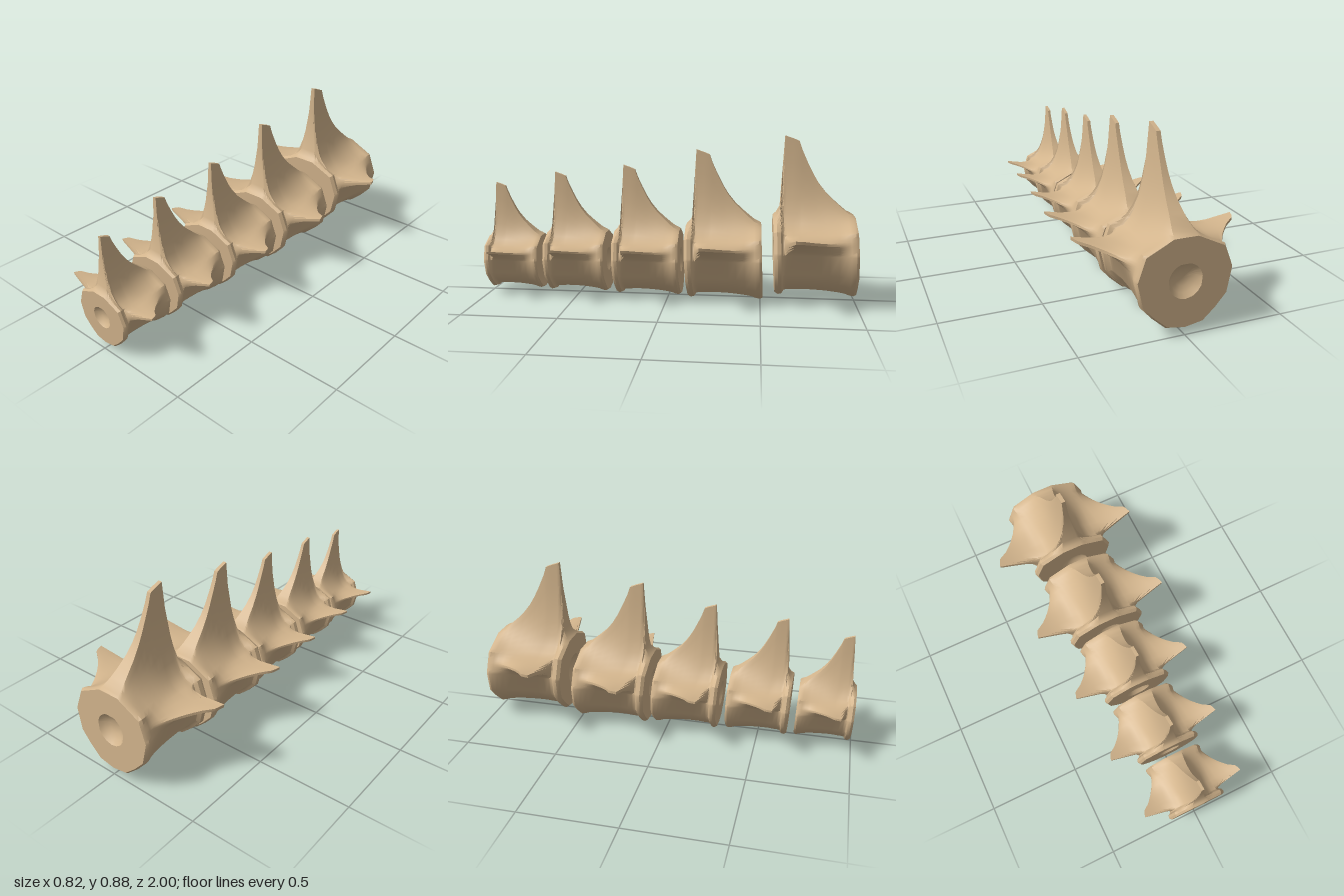
import * as THREE from 'three';
import { toCreasedNormals } from 'three/addons/utils/BufferGeometryUtils.js';

const CENTRE = 0.222; // height of the body axis
const lerp = THREE.MathUtils.lerp;

// Stations front to back: [depth, body scale, spine height, wing span]
const STATIONS = [
  [0.000, 0.95, 0.42, 0.22],
  [0.018, 1.00, 0.435, 0.22],
  [0.038, 0.98, 0.47, 0.22],
  [0.050, 0.90, 0.71, 0.22],
  [0.058, 0.885, 0.85, 0.225],
  [0.072, 0.88, 0.845, 0.26],
  [0.103, 0.875, 0.835, 0.41],
  [0.135, 0.865, 0.822, 0.402],
  [0.152, 0.865, 0.775, 0.395],
  [0.185, 0.865, 0.705, 0.355],
  [0.215, 0.87, 0.648, 0.33],
  [0.245, 0.875, 0.600, 0.308],
  [0.290, 0.89, 0.545, 0.28],
  [0.340, 0.915, 0.500, 0.253],
  [0.375, 0.94, 0.470, 0.235],
  [0.400, 0.98, 0.450, 0.225],
  [0.425, 1.00, 0.438, 0.22],
  [0.440, 0.96, 0.428, 0.22],
];

// Half width of the spine crest, thinning with height
const crestWidth = (h) => 0.009 + 0.049 * Math.exp(-Math.max(0, h - 0.43) * 8.5);

const bezier = (a, b, c, n) =>
  new THREE.QuadraticBezierCurve(a, b, c).getPoints(n);

// Closed cross-section: belly, wing, shoulder, spine, then mirrored
function section([, k, height, span]) {
  const V = (x, y) => new THREE.Vector2(x, y);
  const B = (x, y) => V(x * k, CENTRE + (y - CENTRE) * k);
  const side = B(0.238, 0.255), shoulder = B(0.196, 0.37);
  const w = (span - 0.22) / 0.19;
  const tall = Math.sqrt(THREE.MathUtils.clamp((height - 0.435) / 0.415, 0, 1));
  const crest = V(crestWidth(height), height);
  const mix = (p, q, t) => p.clone().lerp(q, t);

  const tipLow = mix(mix(side, shoulder, 0.45), V(0.408, 0.352), w);
  const tipHigh = mix(mix(side, shoulder, 0.55), V(0.41, 0.368), w);
  const lowBend = mix(mix(side, tipLow, 0.5), V(0.25, 0.305), w);
  const highBend = mix(mix(shoulder, tipHigh, 0.5), V(0.255, 0.325), w);
  const spineBend = mix(mix(shoulder, crest, 0.5), V(0.028, 0.37), tall);

  const half = [
    B(0, 0), B(0.09, 0.015), B(0.155, 0.072), B(0.212, 0.135),
    ...bezier(side, lowBend, tipLow, 4),
    ...bezier(tipHigh, highBend, shoulder, 4),
    ...bezier(shoulder, spineBend, crest, 7).slice(1),
  ];
  const mirrored = half.slice(1).reverse().map((p) => V(-p.x, p.y));
  return [...half, ...mirrored];
}

// Rings that form a flat end face with a round hollow
function hollow(ring, depth, inward) {
  return [[0.083, 0], [0.062, 0.02], [0.035, 0.032], [0, 0.037]].map(([r, d]) =>
    ring.map((p) => {
      const dir = new THREE.Vector2(p.x, p.y - CENTRE).normalize();
      return [dir.x * r, CENTRE + 0.005 + dir.y * r, depth + inward * d];
    }));
}

function vertebraGeometry() {
  const sections = STATIONS.map(section);
  const last = STATIONS.length - 1;
  const rings = [
    ...hollow(sections[0], 0, 1).reverse(),
    ...sections.map((s, i) => s.map((p) => [p.x, p.y, STATIONS[i][0]])),
    ...hollow(sections[last], STATIONS[last][0], -1),
  ];
  const n = sections[0].length;
  const positions = [], index = [];
  for (const ring of rings) {
    for (const [x, y, depth] of ring) {
      const lean = 0.04 * (Math.min(y, 0.44) - CENTRE);
      positions.push(x, y, (0.22 - depth) * 0.97 + lean);
    }
  }
  for (let i = 0; i < rings.length - 1; i++) {
    for (let j = 0; j < n; j++) {
      const a = i * n + j, b = i * n + (j + 1) % n;
      index.push(a, a + n, b + n, a, b + n, b);
    }
  }
  const geometry = new THREE.BufferGeometry();
  geometry.setAttribute('position', new THREE.Float32BufferAttribute(positions, 3));
  geometry.setIndex(index);
  return toCreasedNormals(geometry, THREE.MathUtils.degToRad(38));
}

export function createModel() {
  const model = new THREE.Group();
  model.name = 'vertebralColumn';
  const bone = new THREE.MeshStandardMaterial({ color: 0xd2b48c });
  bone.name = 'bone';
  const geometry = vertebraGeometry();

  // Vertebrae growing from front to back: [z, base height, scale]
  const layout = [
    [0.85, 0.028, 0.69],
    [0.5, 0.022, 0.77],
    [0.11, 0.014, 0.83],
    [-0.305, 0.004, 0.945],
    [-0.78, 0.035, 1.0],
  ];
  layout.forEach(([z, y, s], i) => {
    const vertebra = new THREE.Mesh(geometry, bone);
    vertebra.name = `vertebra${i + 1}`;
    vertebra.position.set(0, y, z);
    vertebra.scale.setScalar(s);
    model.add(vertebra);
  });
  return model;
}
